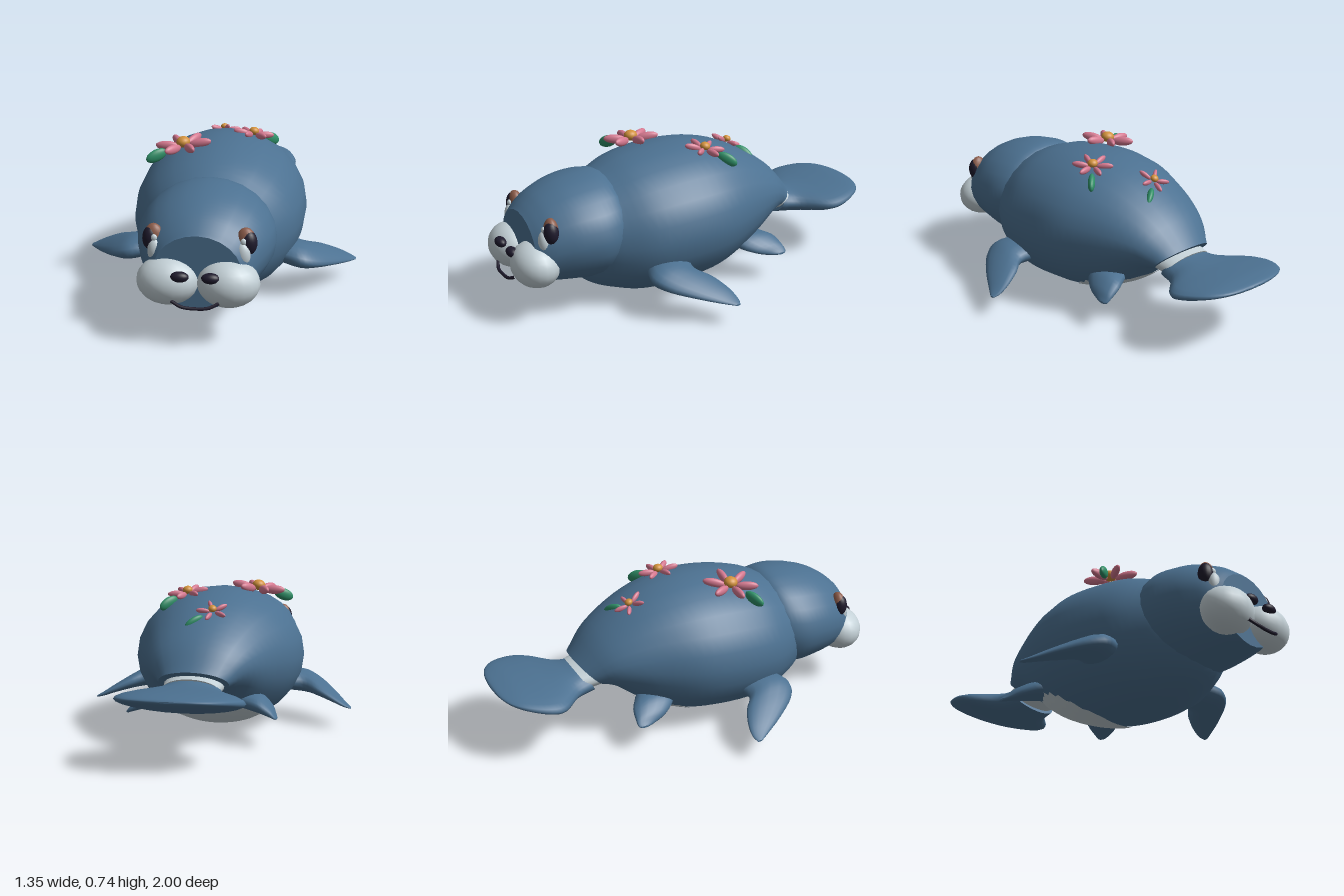
import * as THREE from 'three';

const mat = (name, color) => {
  const m = new THREE.MeshStandardMaterial({ color });
  m.name = name;
  return m;
};

// Smooth section data: each row is [position along axis, offset, centre y, half width, half height, slant]
function makeSurface(rows, axis, side = 1) {
  const centre = new THREE.CatmullRomCurve3(rows.map(r => new THREE.Vector3(r[0], r[1], r[2])), false, 'catmullrom', 0.5);
  const size = new THREE.CatmullRomCurve3(rows.map(r => new THREE.Vector3(r[3], r[4], r[5] || 0)), false, 'catmullrom', 0.5);
  return (t, angle, grow = 0) => {
    const c = centre.getPoint(t), s = size.getPoint(t);
    const u = (s.x + grow) * Math.cos(angle), v = (s.y + grow) * Math.sin(angle * side);
    return axis === 'z'
      ? [c.y + u, c.z + v, c.x + s.z * Math.sin(angle)]
      : [c.x * side, c.z + v, c.y + u];
  };
}

function toGeometry(pos, idx) {
  const g = new THREE.BufferGeometry();
  g.setAttribute('position', new THREE.Float32BufferAttribute(pos, 3));
  g.setIndex(idx);
  g.computeVertexNormals();
  return g;
}

// Closed skin over the sections, with flat end caps
function loft(rows, axis, side = 1, radial = 24, perSection = 4) {
  const point = makeSurface(rows, axis, side);
  const steps = (rows.length - 1) * perSection, pos = [], idx = [];
  for (let i = 0; i <= steps; i++)
    for (let j = 0; j < radial; j++) pos.push(...point(i / steps, (j / radial) * Math.PI * 2));
  for (let i = 0; i < steps; i++)
    for (let j = 0; j < radial; j++) {
      const a = i * radial + j, b = i * radial + (j + 1) % radial;
      idx.push(a, a + radial, b, b, a + radial, b + radial);
    }
  for (const t of [0, 1]) {
    const base = pos.length / 3;
    const p = point(t, 0), q = point(t, Math.PI);
    pos.push(...p.map((v, k) => (v + q[k]) / 2));
    for (let j = 0; j < radial; j++) pos.push(...point(t, (j / radial) * Math.PI * 2));
    for (let j = 0; j < radial; j++) {
      const a = base + 1 + j, b = base + 1 + (j + 1) % radial;
      idx.push(base, t ? b : a, t ? a : b);
    }
  }
  return toGeometry(pos, idx);
}

export function createModel() {
  const model = new THREE.Group();
  model.name = 'manatee';
  const blue = mat('skinBlue', 0x4c7191), white = mat('paleGrey', 0xc3d0d6), dark = mat('darkViolet', 0x1e1a2c);
  const brown = mat('eyeBrown', 0x8c5c4a), pink = mat('petalPink', 0xd4788f);
  const green = mat('leafGreen', 0x2f9068), orange = mat('flowerOrange', 0xd2923c);

  const add = (name, geo, material, parent = model) => {
    const m = new THREE.Mesh(geo, material);
    m.name = name;
    parent.add(m);
    return m;
  };
  const ball = (name, material, p, s, parent = model) => {
    const m = add(name, new THREE.SphereGeometry(1, 20, 14), material, parent);
    m.position.set(...p);
    m.scale.set(...s);
    return m;
  };

  // Body
  const bodyRows = [
    [0.70, 0, 0.36, 0.04, 0.04], [0.66, 0, 0.35, 0.16, 0.17], [0.60, 0, 0.35, 0.24, 0.245],
    [0.50, 0, 0.335, 0.315, 0.285], [0.35, 0, 0.345, 0.39, 0.335], [0.15, 0, 0.36, 0.42, 0.352],
    [-0.05, 0, 0.372, 0.405, 0.335], [-0.25, 0, 0.385, 0.33, 0.265], [-0.42, 0, 0.38, 0.245, 0.15, -0.03],
    [-0.515, 0, 0.33, 0.17, 0.062, -0.065],
  ];
  add('body', loft(bodyRows, 'z'), blue);

  // Pale belly patch with a ragged edge, lying on the underside
  const skin = makeSurface(bodyRows, 'z'), pos = [], idx = [], nI = 16, nJ = 12;
  for (let i = 0; i <= nI; i++) {
    const f = i / nI, half = 0.72 * Math.pow(Math.sin(Math.PI * (0.04 + f * 0.92)), 0.7) + (i % 2 ? 0.06 : 0);
    for (let j = 0; j <= nJ; j++)
      pos.push(...skin((5.45 + f * 2.1) / 9, -Math.PI / 2 + half * (j / nJ * 2 - 1), 0.005));
  }
  for (let i = 0; i < nI; i++)
    for (let j = 0; j < nJ; j++) {
      const a = i * (nJ + 1) + j, b = a + nJ + 1;
      idx.push(a, b, a + 1, a + 1, b, b + 1);
    }
  add('bellyPatch', toGeometry(pos, idx), white);

  // Head with a flat front
  add('head', loft([
    [0.90, 0, 0.335, 0.20, 0.175], [0.86, 0, 0.35, 0.235, 0.195], [0.80, 0, 0.37, 0.268, 0.215],
    [0.70, 0, 0.385, 0.305, 0.24], [0.58, 0, 0.39, 0.32, 0.255], [0.48, 0, 0.40, 0.29, 0.238],
    [0.42, 0, 0.39, 0.23, 0.19],
  ], 'z'), blue);

  // Tail root and paddle
  add('tailRoot', loft([[-0.47, 0, 0.325, 0.15, 0.062, -0.04], [-0.56, 0, 0.305, 0.135, 0.058, -0.035]], 'z'), white);
  add('tailPaddle', loft([
    [-0.53, 0, 0.295, 0.14, 0.064, -0.035], [-0.62, 0, 0.288, 0.175, 0.064, -0.01], [-0.72, 0, 0.292, 0.28, 0.06],
    [-0.80, 0, 0.305, 0.30, 0.052], [-0.90, 0, 0.325, 0.262, 0.036], [-0.96, 0, 0.335, 0.20, 0.022],
    [-0.99, 0, 0.34, 0.12, 0.012], [-1.0, 0, 0.341, 0.04, 0.004],
  ], 'z'), blue);

  for (const s of [1, -1]) {
    const label = s > 0 ? 'left' : 'right';

    // Flippers
    add(label + 'FrontFlipper', loft([
      [0.32, 0.27, 0.215, 0.12, 0.055], [0.42, 0.30, 0.20, 0.118, 0.055], [0.50, 0.25, 0.178, 0.125, 0.04],
      [0.58, 0.18, 0.147, 0.092, 0.024], [0.64, 0.125, 0.12, 0.047, 0.012], [0.675, 0.10, 0.107, 0.012, 0.004],
    ], 'x', s, 16), blue);
    add(label + 'RearFlipper', loft([
      [0.19, -0.25, 0.205, 0.08, 0.04], [0.27, -0.27, 0.195, 0.108, 0.042], [0.33, -0.31, 0.17, 0.082, 0.028],
      [0.36, -0.35, 0.15, 0.042, 0.012], [0.37, -0.36, 0.145, 0.018, 0.005],
    ], 'x', s, 14), blue);

    // Muzzle and nostrils
    ball(label + 'Muzzle', white, [s * 0.135, 0.29, 0.88], [0.141, 0.11, 0.115]);
    ball(label + 'Nostril', dark, [s * 0.068, 0.344, 0.967], [0.041, 0.024, 0.026]);

    // Eyes
    ball(label + 'EyeRim', brown, [s * 0.205, 0.465, 0.825], [0.046, 0.067, 0.034]);
    ball(label + 'Pupil', dark, [s * 0.218, 0.464, 0.83], [0.038, 0.056, 0.036]);
    ball(label + 'EyeGlint', white, [s * 0.198, 0.477, 0.859], [0.014, 0.016, 0.01]);
    ball(label + 'CheekPatch', white, [s * 0.195, 0.415, 0.858], [0.034, 0.055, 0.028]);
  }

  // Mouth
  const smile = new THREE.CatmullRomCurve3([[-0.105, 0.23, 0.972], [-0.06, 0.212, 0.988], [0, 0.207, 0.99],
    [0.06, 0.212, 0.988], [0.105, 0.23, 0.972]].map(p => new THREE.Vector3(...p)));
  add('mouth', new THREE.TubeGeometry(smile, 24, 0.008, 8), dark);

  // Flowers on the back: position, normal, radius, first petal angle, leaf angle
  const flowers = [
    [[-0.175, 0.695, 0.2], [-0.12, 1, 0.02], 0.135, 0, 3.64, 6],
    [[0.14, 0.69, -0.04], [0.12, 1, -0.15], 0.1, 0.2, 0.8, 6],
    [[-0.04, 0.635, -0.28], [-0.04, 1, -0.5], 0.08, 0.1, 0.75, 5],
  ];
  for (const [p, n, r, start, leafAngle, count] of flowers) {
    const flower = new THREE.Group();
    flower.name = 'flower';
    flower.position.set(...p);
    flower.quaternion.setFromUnitVectors(new THREE.Vector3(0, 1, 0), new THREE.Vector3(...n).normalize());
    model.add(flower);
    ball('flowerCentre', orange, [0, 0.018, 0], [r * 0.25, r * 0.2, r * 0.25], flower);
    for (let k = 0; k < count; k++) {
      const a = start + (k / count) * Math.PI * 2;
      const petal = ball('petal', pink, [Math.cos(a) * r * 0.6, 0.005, -Math.sin(a) * r * 0.6], [r * 0.42, r * 0.17, r * 0.13], flower);
      petal.rotation.set(0, a, 0.12);
    }
    const d = r * 0.65 + 0.055;
    const leaf = ball('leaf', green, [Math.cos(leafAngle) * d, -0.02, -Math.sin(leafAngle) * d], [0.055, 0.03, 0.018], flower);
    leaf.rotation.set(0, leafAngle, -0.25);
  }
  return model;
}
